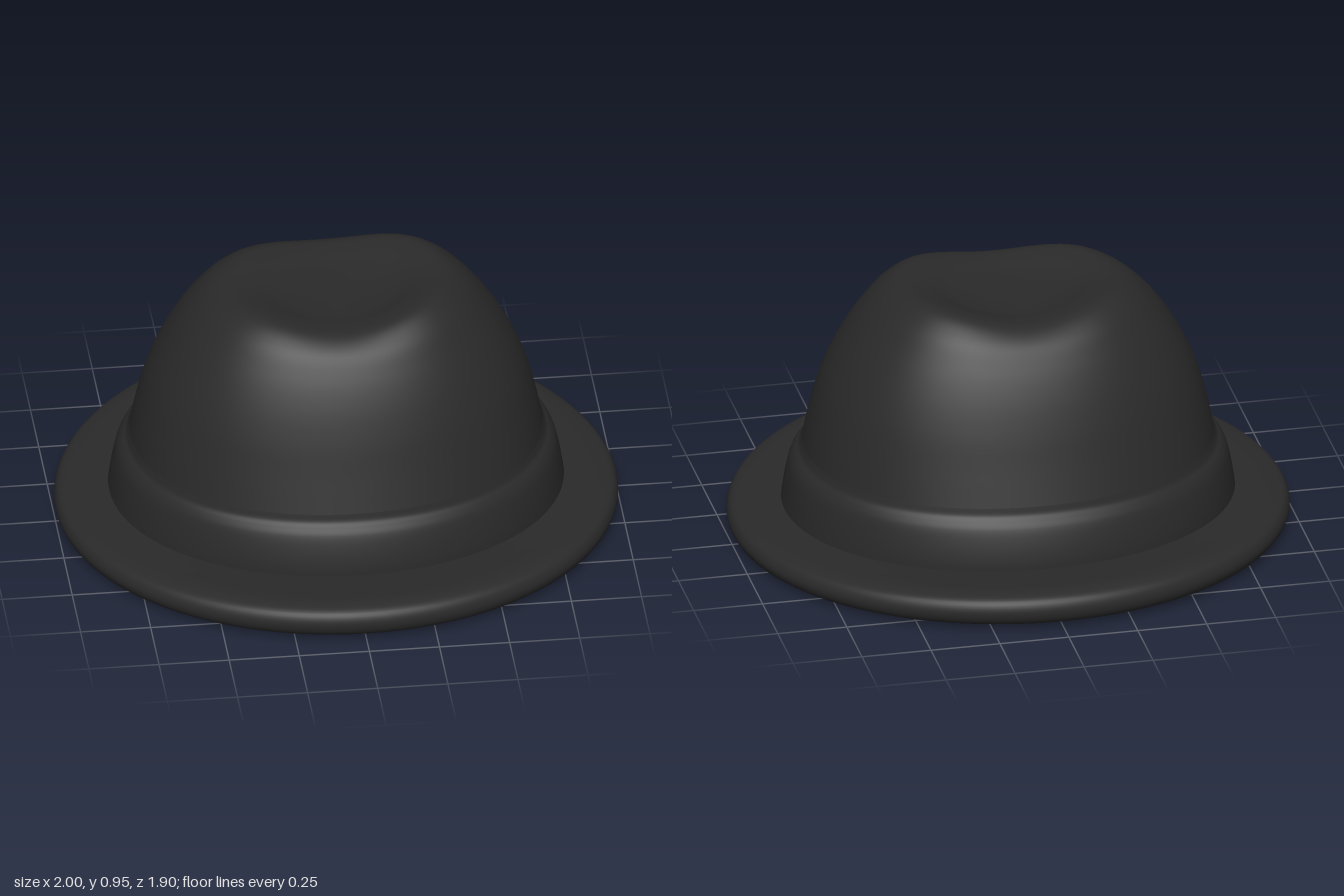
import * as THREE from 'three';

const SEGMENTS = 96;

// Lofts rounded rings. Each row is
// [side radius, side height, front radius, front height, corner rise, corner fullness].
function loft(rows, steps, material, name) {
  const side = new THREE.CatmullRomCurve3(rows.map(r => new THREE.Vector3(r[0], r[1], r[4] || 0)));
  const front = new THREE.CatmullRomCurve3(rows.map(r => new THREE.Vector3(r[2], r[3], r[5] || 0)));
  const positions = [], indices = [];
  for (let i = 0; i <= steps; i++) {
    const s = side.getPoint(i / steps), f = front.getPoint(i / steps);
    for (let j = 0; j < SEGMENTS; j++) {
      const a = (j / SEGMENTS) * Math.PI * 2;
      const c = Math.cos(a), n = Math.sin(a);
      const corner = Math.sin(2 * a) ** 2;
      const grow = 1 + f.z * corner;
      const y = s.y * c * c + f.y * n * n + s.z * (corner + 0.5 * c);
      positions.push(s.x * c * grow, y, f.x * n * grow);
      if (i === steps) continue;
      const p = i * SEGMENTS + j, q = i * SEGMENTS + (j + 1) % SEGMENTS;
      indices.push(p, p + SEGMENTS, q, q, p + SEGMENTS, q + SEGMENTS);
    }
  }
  const geometry = new THREE.BufferGeometry();
  geometry.setAttribute('position', new THREE.Float32BufferAttribute(positions, 3));
  geometry.setIndex(indices);
  geometry.computeVertexNormals();
  const mesh = new THREE.Mesh(geometry, material);
  mesh.name = name;
  return mesh;
}

export function createModel() {
  const felt = new THREE.MeshStandardMaterial({ color: 0x2a2a2a });
  felt.name = 'charcoal felt';
  const hat = new THREE.Group();
  hat.name = 'hat';

  // Closed brim with a rolled edge, lifted slightly at front and back
  hat.add(loft([
    [0.001, 0.02, 0.001, 0.02],
    [0.3, 0.02, 0.26, 0.02],
    [0.56, 0.019, 0.49, 0.02],
    [0.62, 0.009, 0.54, 0.011],
    [0.8, 0.004, 0.73, 0.012],
    [0.94, 0.003, 0.88, 0.014],
    [0.985, 0.02, 0.933, 0.035],
    [1.0, 0.053, 0.95, 0.077],
    [0.985, 0.088, 0.935, 0.118],
    [0.94, 0.103, 0.885, 0.136],
    [0.86, 0.112, 0.79, 0.13],
    [0.8, 0.116, 0.675, 0.121],
  ], 55, felt, 'brim'));

  // Band around the foot of the crown, its upper lip fading into the felt
  hat.add(loft([
    [0.81, 0.105, 0.684, 0.105, 0, 0.006],
    [0.803, 0.15, 0.68, 0.15, 0, 0.008],
    [0.793, 0.21, 0.667, 0.21, 0, 0.01],
    [0.778, 0.265, 0.648, 0.265, 0, 0.014],
    [0.761, 0.292, 0.632, 0.29, 0, 0.018],
    [0.744, 0.309, 0.62, 0.308, 0, 0.02],
    [0.733, 0.335, 0.613, 0.335, 0, 0.021],
  ], 36, felt, 'hatBand'));

  // Crown with a raised rounded rim around a wide, shallow dished top
  hat.add(loft([
    [0.735, 0.325, 0.615, 0.325, 0, 0.021],
    [0.709, 0.45, 0.576, 0.45, 0, 0.025],
    [0.668, 0.59, 0.535, 0.58, 0, 0.03],
    [0.607, 0.718, 0.49, 0.695, 0, 0.037],
    [0.53, 0.832, 0.44, 0.79, 0.002, 0.046],
    [0.452, 0.905, 0.386, 0.862, 0.011, 0.056],
    [0.375, 0.936, 0.32, 0.899, 0.02, 0.066],
    [0.3, 0.928, 0.255, 0.899, 0.016, 0.066],
    [0.21, 0.904, 0.18, 0.889, 0.006, 0.06],
    [0.1, 0.888, 0.086, 0.885, 0, 0.03],
    [0.001, 0.885, 0.001, 0.885],
  ], 60, felt, 'crown'));

  return hat;
}
